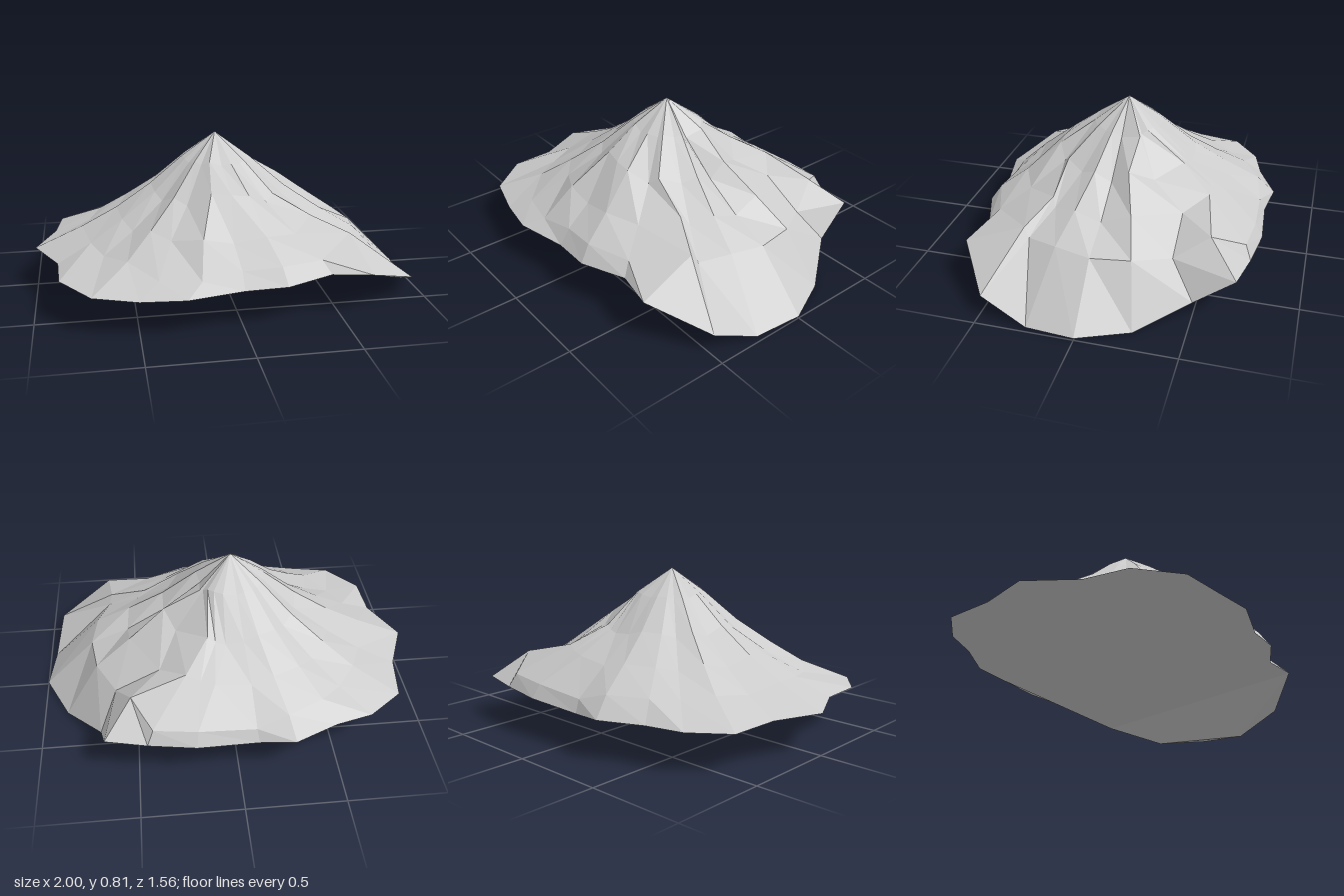
import * as THREE from 'three';

// Rim outline as x, y, z: 24 points, starting at +x and turning towards +z
const RIM = [
  1, 0.01, 0, 0.97, 0, 0.25, 0.93, 0.11, 0.49, 0.65, 0.22, 0.68,
  0.45, 0.22, 0.64, 0.21, 0.21, 0.73, 0, 0.2, 0.72, -0.28, 0.2, 0.78,
  -0.5, 0.19, 0.74, -0.72, 0.2, 0.68, -0.87, 0.21, 0.48, -0.88, 0.21, 0.25,
  -1, 0.21, 0, -0.9, 0.21, -0.25, -0.87, 0.2, -0.49, -0.69, 0.2, -0.63,
  -0.5, 0.2, -0.68, -0.28, 0.2, -0.78, -0.1, 0.185, -0.75, 0.21, 0.2, -0.77,
  0.45, 0.21, -0.74, 0.66, 0.22, -0.7, 0.69, 0.085, -0.5, 0.88, 0, -0.25,
];
const SEGMENTS = RIM.length / 3;

// Ridge (+) or gully (-) along each spoke
const RIDGES = [
  -0.6, 0.3, -0.4, 0.5, -0.5, 0.1, -0.6, 0.9, -0.4, 0.4, -0.6, 0.2,
  0.8, -0.3, 0.5, -0.3, 0.2, 0.4, -0.2, 0.3, 0.7, 0.6, -0.6, 0.6,
];

// Contour rings from the summit down: radius, height, ridge relief
const RINGS = [
  { radius: 0.18, y: 0.675, relief: 0.015 },
  { radius: 0.36, y: 0.515, relief: 0.035 },
  { radius: 0.55, y: 0.39, relief: 0.035 },
  { radius: 0.73, y: 0.29, relief: 0.02 },
];
const SUMMIT = [-0.03, 0.81, 0];
const BASE_CENTRE = [0, 0.18, 0];

// Hand-placed corners on the sharp spurs, keyed by ring and spoke
const SPURS = {
  // +x side
  '0,0': [0.13, 0.64, 0], '1,0': [0.33, 0.48, 0],
  '2,0': [0.53, 0.36, 0], '3,0': [0.73, 0.28, 0],
  '0,23': [0.14, 0.66, -0.1], '1,23': [0.33, 0.55, -0.09], '3,23': [0.7, 0.28, -0.2],
  // Back corner
  '1,19': [0.03, 0.5, -0.36], '1,20': [0.08, 0.51, -0.35], '1,21': [0.12, 0.53, -0.33],
  '2,19': [0.1, 0.4, -0.54], '2,20': [0.17, 0.41, -0.52],
  '2,21': [0.24, 0.43, -0.49], '2,22': [0.37, 0.38, -0.38],
  '3,18': [-0.09, 0.25, -0.72], '3,19': [0.2, 0.27, -0.73], '3,20': [0.42, 0.28, -0.71],
  '3,21': [0.52, 0.36, -0.55], '3,22': [0.6, 0.26, -0.38],
  // Front
  '2,3': [0.43, 0.41, 0.28], '3,3': [0.62, 0.33, 0.37],
  '1,5': [0.09, 0.55, 0.35], '1,6': [0, 0.56, 0.35], '1,7': [-0.1, 0.57, 0.33],
  '2,6': [-0.02, 0.37, 0.53], '2,7': [-0.17, 0.4, 0.53],
  '3,7': [-0.2, 0.25, 0.69], '3,8': [-0.4, 0.25, 0.65],
  // -x ridge
  '3,12': [-0.75, 0.32, 0],
};

function ringPoint(ring, i) {
  const spur = SPURS[`${ring},${i}`];
  if (spur) return spur;
  const { radius, y, relief } = RINGS[ring];
  const x = RIM[i * 3], z = RIM[i * 3 + 2];
  const rimRadius = Math.hypot(x, z);
  const share = Math.min(radius / rimRadius, 0.92);
  return [x * share + SUMMIT[0] * (1 - share), y + relief * RIDGES[i], z * share];
}

// Triangles joining a hub to each pair of neighbours in a list
const fan = (hub, points) => points.slice(1).map((p, k) => [hub, points[k], p]);

function surface(name, triangles) {
  const geometry = new THREE.BufferGeometry();
  geometry.setAttribute('position', new THREE.Float32BufferAttribute(triangles.flat(2), 3));
  geometry.computeVertexNormals();
  const material = new THREE.MeshStandardMaterial({ color: 0xcccccc, flatShading: true });
  const mesh = new THREE.Mesh(geometry, material);
  mesh.name = name;
  return mesh;
}

export function createModel() {
  const rows = RINGS.map((_, ring) =>
    Array.from({ length: SEGMENTS }, (_, i) => ringPoint(ring, i)));
  const rim = Array.from({ length: SEGMENTS }, (_, i) => RIM.slice(i * 3, i * 3 + 3));
  rows.push(rim);

  const slopes = [];
  for (let i = 0; i < SEGMENTS; i++) {
    const j = (i + 1) % SEGMENTS;
    // Summit fan
    slopes.push([SUMMIT, rows[0][j], rows[0][i]]);
    // Bands of slope between neighbouring rings
    for (let r = 0; r < rows.length - 1; r++) {
      const a = rows[r][i], b = rows[r][j], c = rows[r + 1][j], d = rows[r + 1][i];
      slopes.push([a, b, d], [b, c, d]);
    }
  }

  const underside = [
    // Broad floor, cut straight across the back and the +x end
    ...fan(BASE_CENTRE, [rim[22], ...rim.slice(4, 19), rim[22]]),
    // Low toe at the +x end
    [rim[23], rim[0], rim[1]],
    ...fan(rim[22], [rim[23], rim[1], rim[3], rim[4]]),
    // Raised undercuts at the front and back corners
    [rim[1], rim[2], rim[3]],
    ...fan(rim[18], rim.slice(19, 23)),
  ];

  const mountain = new THREE.Group();
  mountain.name = 'mountain';
  mountain.add(surface('slopes', slopes), surface('underside', underside));
  return mountain;
}
